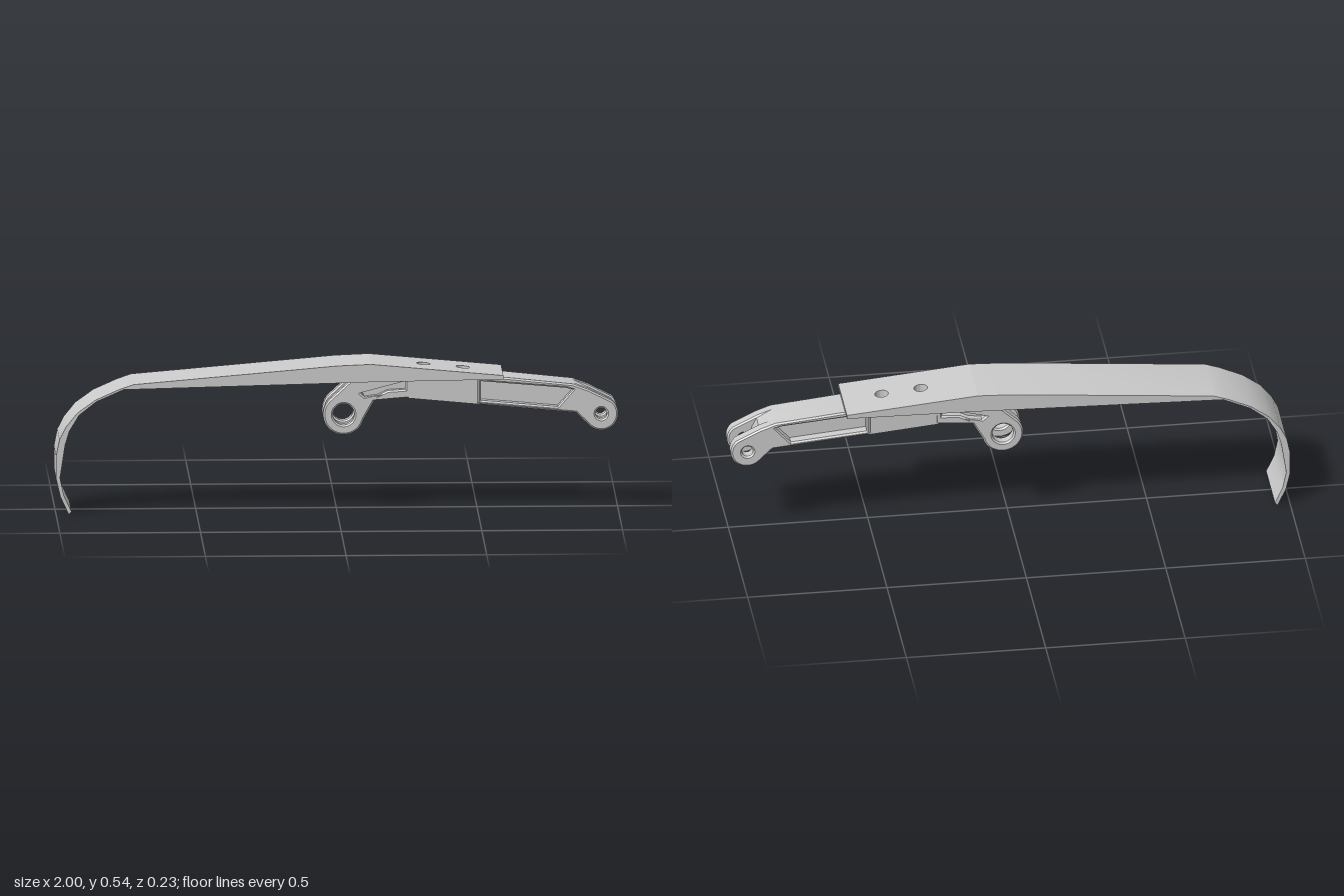
import * as THREE from 'three';
import { toCreasedNormals } from 'three/addons/utils/BufferGeometryUtils.js';

const material = new THREE.MeshStandardMaterial({ color: 0xcccccc });
const HOLES = [0.31, 0.45]; // bolt positions along x
const lerp = THREE.MathUtils.lerp;
const toShape = pts => new THREE.Shape(pts.map(p => new THREE.Vector2(...p)));

function addMesh(group, name, geometry) {
  const mesh = new THREE.Mesh(toCreasedNormals(geometry, 0.5), material);
  mesh.name = name;
  group.add(mesh);
}

// Side profile extruded from z0 to z1, with an optional chamfer kept inside the outline
function plate(shape, z0, z1, bevel = 0) {
  const g = new THREE.ExtrudeGeometry(shape, {
    depth: z1 - z0 - 2 * bevel, curveSegments: 28, bevelEnabled: bevel > 0,
    bevelThickness: bevel, bevelSize: bevel, bevelOffset: -bevel, bevelSegments: 1
  });
  return g.translate(0, 0, z0 + bevel);
}

// Plan-view slab with vertical bolt holes; bottom and top heights vary with x
function slab(x0, x1, halfZ, holeR, bottom, top) {
  const shape = toShape([[x0, -halfZ], [x1, -halfZ], [x1, halfZ], [x0, halfZ]]);
  for (const x of HOLES) shape.holes.push(new THREE.Path().absarc(x, 0, holeR, 0, Math.PI * 2, true));
  const g = new THREE.ExtrudeGeometry(shape, { depth: 1, bevelEnabled: false, curveSegments: 24 });
  g.rotateX(-Math.PI / 2);
  const p = g.attributes.position;
  for (let i = 0; i < p.count; i++) {
    const x = p.getX(i);
    p.setY(i, lerp(bottom(x), top(x), p.getY(i)));
  }
  g.computeVertexNormals();
  return g;
}

const rad = THREE.MathUtils.degToRad;
const armBottom = x => 0.413 - 0.0934 * (x - 0.165);

// Outline of the large-eye end of the arm
function rearShape() {
  const s = new THREE.Shape();
  s.moveTo(0.265, 0.477);
  s.lineTo(0.055, 0.475);
  s.absarc(0.024, 0.347, 0.073, rad(130), rad(345), false);
  s.lineTo(0.135, 0.4);
  s.lineTo(0.165, 0.413);
  s.lineTo(0.265, armBottom(0.265));
  s.holes.push(
    new THREE.Path().absarc(0.024, 0.347, 0.038, 0, Math.PI * 2, true),
    toShape([[0.068, 0.437], [0.1, 0.464], [0.243, 0.465], [0.243, 0.436],
      [0.18, 0.432], [0.145, 0.415], [0.1, 0.409]])
  );
  return s;
}

// Outline of the small-eye end of the arm
function frontShape() {
  const s = new THREE.Shape();
  s.moveTo(0.495, 0.477);
  s.lineTo(0.495, armBottom(0.495));
  s.lineTo(0.85, armBottom(0.85));
  s.absarc(0.94, 0.345, 0.06, rad(225), rad(410), false);
  s.lineTo(0.895, 0.432);
  s.lineTo(0.84, 0.452);
  s.lineTo(0.6, 0.477);
  s.holes.push(
    new THREE.Path().absarc(0.94, 0.345, 0.02, 0, Math.PI * 2, true),
    toShape([[0.512, 0.464], [0.512, 0.395], [0.785, 0.371], [0.84, 0.432], [0.815, 0.438]])
  );
  return s;
}

export function createModel() {
  const model = new THREE.Group();

  // Curved strap: hooked end and thick tapering span
  const strap = new THREE.Group();
  strap.name = 'strap';
  model.add(strap);
  addMesh(strap, 'strapHook', plate(toShape([
    [-0.955, 0], [-0.985, 0.065], [-1, 0.13], [-1, 0.21], [-0.988, 0.27], [-0.965, 0.315],
    [-0.925, 0.365], [-0.86, 0.412], [-0.775, 0.45], [-0.725, 0.467], [0, 0.53], [0.12, 0.535],
    [0.12, 0.471], [-0.76, 0.449], [-0.857, 0.406], [-0.918, 0.358], [-0.953, 0.3],
    [-0.968, 0.25], [-0.986, 0.132], [-0.973, 0.07], [-0.945, 0.01]
  ]), -0.114, 0.114));
  const along = x => (x - 0.12) / 0.47;
  addMesh(strap, 'strapMount', slab(0.12, 0.59, 0.114, 0.024,
    x => lerp(0.471, 0.478, along(x)), x => lerp(0.535, 0.492, along(x))));

  // Lever arm
  const arm = new THREE.Group();
  arm.name = 'leverArm';
  model.add(arm);

  // Bolted centre block: wide counterbores below, narrow holes above
  addMesh(arm, 'counterboreBlock', slab(0.255, 0.506, 0.07, 0.05, armBottom, () => 0.445));
  addMesh(arm, 'boltSeat', slab(0.255, 0.506, 0.07, 0.024, () => 0.445, () => 0.476));

  // Webs between the cheeks, which also form the pocket floors
  addMesh(arm, 'rearWeb', plate(toShape([
    [0.257, 0.475], [0.066, 0.472], [0.1, 0.405], [0.14, 0.402], [0.165, 0.413],
    [0.257, armBottom(0.257)]
  ]), -0.042, 0.042));
  addMesh(arm, 'frontWeb', plate(toShape([
    [0.504, 0.477], [0.504, armBottom(0.504)], [0.85, armBottom(0.85)], [0.885, 0.325],
    [0.912, 0.345], [0.912, 0.39], [0.895, 0.425], [0.84, 0.452], [0.6, 0.477]
  ]), -0.034, 0.034));

  // Mirrored cheeks with pivot eyes and side pockets
  for (const side of [1, -1]) {
    const label = side > 0 ? 'Left' : 'Right';
    const span = (a, b) => side > 0 ? [a, b] : [-b, -a];
    addMesh(arm, 'rearCheek' + label, plate(rearShape(), ...span(0.028, 0.071), 0.006));
    addMesh(arm, 'frontCheek' + label, plate(frontShape(), ...span(0.028, 0.071), 0.006));
  }
  return model;
}
